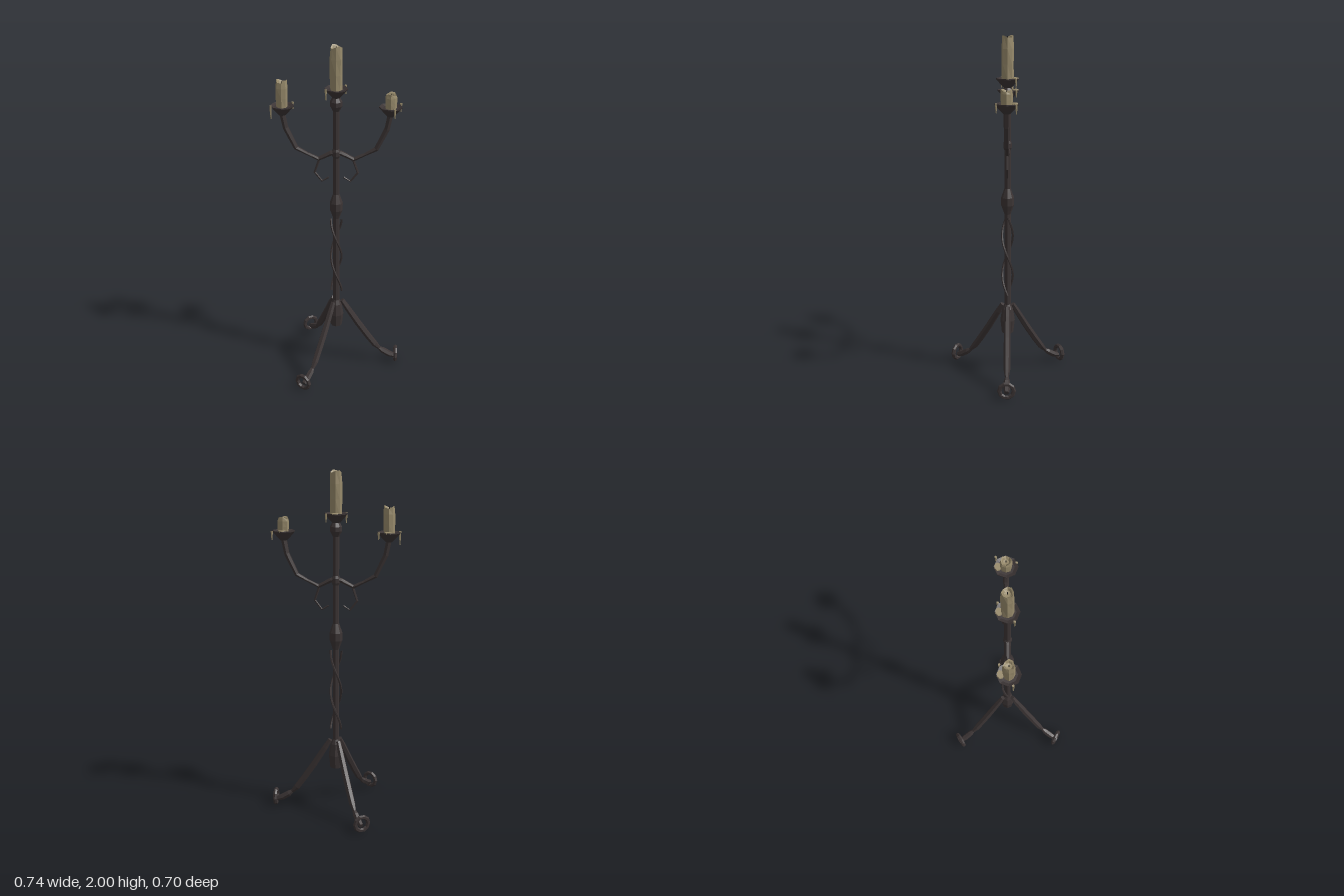
import * as THREE from 'three';

const AXIS = -0.008; // x of the central pole

function makeMaterial(name, color) {
  const m = new THREE.MeshStandardMaterial({ color, flatShading: true });
  m.name = name;
  return m;
}

function add(parent, name, geometry, material, x = 0, y = 0, z = 0) {
  const mesh = new THREE.Mesh(geometry, material);
  mesh.name = name;
  mesh.position.set(x, y, z);
  parent.add(mesh);
  return mesh;
}

// Turned shape from [radius, height] pairs, bottom to top
function turned(profile, sides = 8) {
  return new THREE.LatheGeometry(profile.map(([r, y]) => new THREE.Vector2(r, y)), sides);
}

// Bar of varying thickness along a path in the XY plane; rows are [x, y, radius]
function bar(rows, sides = 6) {
  const pos = [], idx = [], n = rows.length;
  rows.forEach(([x, y, r], i) => {
    const a = rows[Math.max(i - 1, 0)], b = rows[Math.min(i + 1, n - 1)];
    const t = new THREE.Vector2(b[0] - a[0], b[1] - a[1]).normalize();
    for (let j = 0; j < sides; j++) {
      const q = ((j + 0.5) / sides) * Math.PI * 2, c = Math.cos(q) * r;
      pos.push(x - t.y * c, y + t.x * c, Math.sin(q) * r);
    }
  });
  for (let j = 0; j < sides; j++) {
    const k = (j + 1) % sides;
    for (let i = 0; i < n - 1; i++) {
      const a = i * sides, b = a + sides;
      idx.push(a + j, a + k, b + k, a + j, b + k, b + j);
    }
    const e = (n - 1) * sides;
    if (j > 0 && j < sides - 1) idx.push(0, k, j, e, e + j, e + k); // end caps
  }
  const g = new THREE.BufferGeometry();
  g.setAttribute('position', new THREE.Float32BufferAttribute(pos, 3));
  g.setIndex(idx);
  g.computeVertexNormals();
  return g;
}

// Half-melted candle: hollow, uneven top and slightly lumpy sides
function candleGeometry(r, h, phase) {
  const g = turned([[r * 0.95, 0], [r, h * 0.35], [r * 1.02, h * 0.7], [r * 0.9, h], [r * 0.68, h - 0.006], [r * 0.5, h - 0.025], [0, h - 0.028]]);
  const p = g.attributes.position;
  for (let i = 0; i < p.count; i++) {
    const x = p.getX(i), y = p.getY(i), z = p.getZ(i);
    const q = Math.atan2(z, x);
    const lump = 1 + 0.05 * Math.sin(3 * q + phase + y * 20);
    const melt = y > h - 0.01 ? 0.008 * (1 + Math.sin(2 * q + phase)) : 0;
    p.setXYZ(i, x * lump, y - melt, z * lump);
  }
  g.computeVertexNormals();
  return g;
}

export function createModel() {
  const root = new THREE.Group();
  root.name = 'candelabra';
  const iron = makeMaterial('dark iron', 0x3b3434);
  const wax = makeMaterial('old wax', 0x978a6b);
  const wickMat = makeMaterial('burnt wick', 0x1d1a18);

  const stand = new THREE.Group();
  stand.name = 'stand';
  stand.position.x = AXIS;
  root.add(stand);

  // Central pole with its swellings
  add(stand, 'pole', new THREE.CylinderGeometry(0.018, 0.019, 1.34, 8), iron, 0, 1.05);
  add(stand, 'baseBulb', turned([[0, 0.26], [0.034, 0.262], [0.043, 0.34], [0.032, 0.41], [0.018, 0.44]]), iron);
  add(stand, 'middleKnob', turned([[0.018, 0.985], [0.026, 1.01], [0.037, 1.04], [0.037, 1.085], [0.025, 1.12], [0.018, 1.14]]), iron);
  add(stand, 'topKnob', turned([[0.018, 1.635], [0.034, 1.665], [0.034, 1.69], [0.02, 1.715]]), iron);
  add(stand, 'armCollar', turned([[0.018, 1.36], [0.024, 1.375], [0.024, 1.4], [0.018, 1.415]]), iron);

  // Two strands twisted round the pole
  for (const start of [0, Math.PI]) {
    const pts = [];
    for (let i = 0; i <= 16; i++) {
      const q = start + (i / 16) * Math.PI * 2;
      pts.push(new THREE.Vector3(Math.cos(q) * 0.031, 0.5 + (i / 16) * 0.48, Math.sin(q) * 0.031));
    }
    const path = new THREE.CatmullRomCurve3(pts);
    add(stand, 'twistedStrand', new THREE.TubeGeometry(path, 24, 0.0065, 5), iron);
  }

  // Three legs, each ending in an upright ring
  for (let i = 0; i < 3; i++) {
    const leg = new THREE.Group();
    leg.name = 'leg';
    leg.rotation.y = (i * Math.PI * 2) / 3;
    stand.add(leg);
    add(leg, 'legBar', bar([
      [0.034, 0.432, 0.014], [0.065, 0.38, 0.018], [0.13, 0.275, 0.02], [0.19, 0.185, 0.02],
      [0.235, 0.122, 0.019], [0.265, 0.09, 0.011], [0.285, 0.075, 0.018], [0.325, 0.05, 0.019], [0.358, 0.038, 0.014],
    ]), iron);
    const ring = add(leg, 'footRing', new THREE.TorusGeometry(0.041, 0.0125, 6, 10), iron, 0.364, 0.054);
    ring.rotation.y = Math.PI / 2;
  }

  // Two side arms with a curled hook under each
  for (const turn of [0, Math.PI]) {
    const arm = new THREE.Group();
    arm.name = 'arm';
    arm.rotation.y = turn;
    stand.add(arm);
    add(arm, 'armBar', bar([
      [0, 1.395, 0.015], [0.03, 1.388, 0.014], [0.098, 1.353, 0.012], [0.16, 1.383, 0.009],
      [0.222, 1.417, 0.014], [0.278, 1.535, 0.016], [0.295, 1.622, 0.017],
    ]), iron);
    add(arm, 'hook', bar([
      [0.095, 1.352, 0.008], [0.121, 1.272, 0.007], [0.08, 1.218, 0.006], [0.042, 1.242, 0.005],
    ], 5), iron);
  }

  // Drip pans with candles; drips are [x, z, length]
  const lights = [
    { name: 'leftCandle', x: 0.295, y: 1.665, r: 0.032, h: 0.078, phase: 1, drips: [[0.057, -0.052, 0.05], [0.022, 0.055, 0.05]] },
    { name: 'middleCandle', x: 0, y: 1.765, r: 0.034, h: 0.235, phase: 2.6, drips: [[0.05, -0.048, 0.05], [-0.054, 0.034, 0.06]] },
    { name: 'rightCandle', x: -0.294, y: 1.665, r: 0.032, h: 0.145, phase: 4.2, drips: [[0.054, -0.048, 0.04], [-0.06, 0.02, 0.075]] },
  ];
  for (const { name, x, y, r, h, phase, drips } of lights) {
    const light = new THREE.Group();
    light.name = name;
    light.position.set(x, y, 0);
    stand.add(light);
    add(light, 'dripPan', turned([[0, -0.056], [0.02, -0.055], [0.038, -0.036], [0.064, -0.006], [0.064, 0], [0.045, -0.008], [0, -0.01]]), iron);
    add(light, 'candle', candleGeometry(r, h + 0.01, phase), wax, 0, -0.01);
    add(light, 'wick', new THREE.CylinderGeometry(0.002, 0.003, 0.022, 5), wickMat, 0, h - 0.018);
    // Wax spilt over the back of the pan
    const spill = add(light, 'waxSpill', new THREE.CylinderGeometry(0.022, 0.025, 0.007, 7), wax, 0.002, -0.001, -0.043);
    spill.scale.z = 0.8;
    for (const [dx, dz, length] of drips) {
      add(light, 'waxDrip', new THREE.CylinderGeometry(0.007, 0.003, length, 5), wax, dx, 0.002 - length / 2, dz);
    }
  }
  return root;
}
